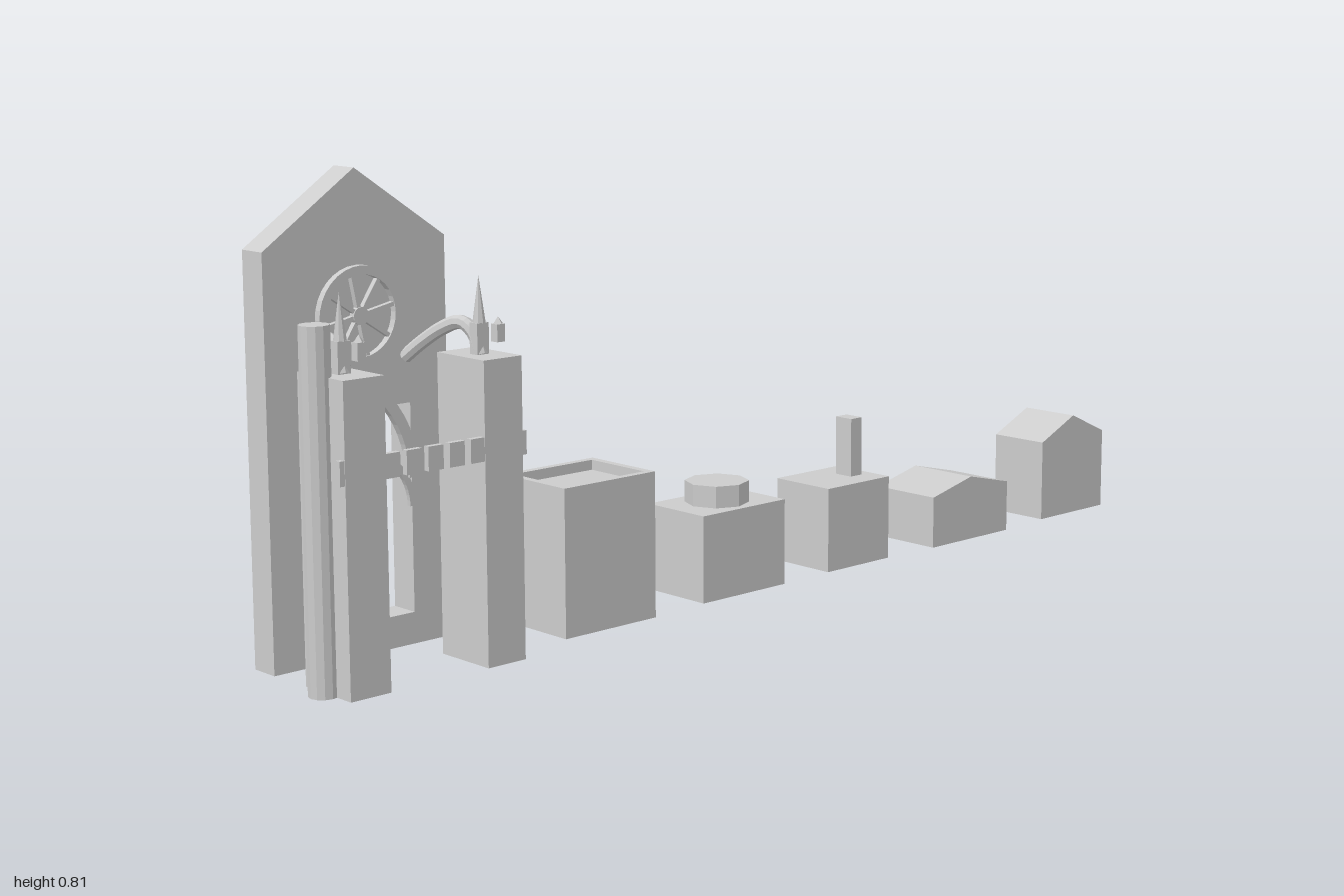
import * as THREE from 'three';

const CX = -0.79; // centre line of the church

export function createModel() {
  const root = new THREE.Group();
  const mat = new THREE.MeshStandardMaterial({ color: 0xcccccc, flatShading: true });

  const add = (name, geo, x = 0, y = 0, z = 0, parent = root) => {
    const m = new THREE.Mesh(geo, mat);
    m.name = name;
    m.position.set(x, y, z);
    parent.add(m);
    return m;
  };
  // Box given by its limits on each axis
  const block = (name, x0, x1, y0, y1, z0, z1, parent = root) =>
    add(name, new THREE.BoxGeometry(x1 - x0, y1 - y0, z1 - z0),
      (x0 + x1) / 2, (y0 + y1) / 2, (z0 + z1) / 2, parent);
  const poly = (pts) => new THREE.Shape(pts.map(([x, y]) => new THREE.Vector2(x, y)));
  const extrude = (shape, depth) =>
    new THREE.ExtrudeGeometry(shape, { depth, bevelEnabled: false, curveSegments: 16 });

  const church = new THREE.Group();
  church.name = 'church';
  root.add(church);

  // Gabled wall with a rectangular opening
  const wall = poly([[-0.18, 0], [0.18, 0], [0.18, 0.69], [0, 0.813], [-0.18, 0.69]]);
  wall.holes.push(poly([[-0.103, 0.055], [-0.103, 0.415], [0.103, 0.415], [0.103, 0.055]]));
  add('gableWall', extrude(wall, 0.055), CX, 0, -0.13, church);

  // Pointed arch band: two arcs, each centred on the opposite springing point
  const archPoints = (half, span, spring) => {
    const pts = [], r = half + span;
    const end = Math.acos(span / r);
    for (let i = 0; i <= 10; i++) {
      const a = end * i / 10;
      pts.push([-span + r * Math.cos(a), spring + r * Math.sin(a)]);
    }
    for (let i = 9; i >= 0; i--) pts.push([-pts[i][0], pts[i][1]]);
    return pts;
  };
  const archBand = (span, width, spring, depth) =>
    extrude(poly([
      ...archPoints(span + width / 2, span, spring),
      ...archPoints(span - width / 2, span, spring).reverse(),
    ]), depth);

  // Window tracery
  add('greatArch', archBand(0.1, 0.02, 0.29, 0.013), CX, 0, -0.075, church);
  for (const s of [-1, 1])
    add('lancetArch', archBand(0.05, 0.012, 0.24, 0.008), CX + s * 0.05, 0, -0.076, church);
  block('mullion', CX - 0.006, CX + 0.006, 0.055, 0.25, -0.076, -0.067, church);
  add('oculus', new THREE.TorusGeometry(0.032, 0.006, 6, 20), CX, 0.385, -0.07, church);

  // Rose window
  const rose = new THREE.Group();
  rose.name = 'roseWindow';
  rose.position.set(CX, 0.572, -0.075);
  church.add(rose);
  const ring = new THREE.Shape().absarc(0, 0, 0.083, 0, Math.PI * 2);
  ring.holes.push(new THREE.Path().absarc(0, 0, 0.068, 0, Math.PI * 2));
  add('roseRim', extrude(ring, 0.013), 0, 0, 0, rose);
  add('roseHub', new THREE.CylinderGeometry(0.015, 0.015, 0.012, 16).rotateX(Math.PI / 2), 0, 0, 0.006, rose);
  for (let i = 0; i < 8; i++) {
    const spoke = new THREE.BoxGeometry(0.058, 0.007, 0.01).translate(0.043, 0, 0.005);
    add('roseSpoke', spoke.rotateZ(i * Math.PI / 4 + 0.2), 0, 0, 0, rose);
  }

  // Towers, pinnacles and flying buttresses, mirrored
  for (const s of [-1, 1]) {
    const tx = CX + s * 0.137;
    block('tower', tx - 0.039, tx + 0.039, 0, 0.51, 0.008, 0.13, church);
    block('pinnacleBase', tx - 0.012, tx + 0.012, 0.51, 0.562, 0.06, 0.08, church);
    add('pinnacleSpire', new THREE.ConeGeometry(0.011, 0.078, 8), tx, 0.6, 0.07, church);
    block('cornerFinial', tx - 0.008, tx + 0.008, 0.536, 0.565, 0.111, 0.127, church);
    add('finialCap', new THREE.ConeGeometry(0.01, 0.012, 4), tx, 0.571, 0.119, church);
    const path = new THREE.CatmullRomCurve3([
      [0.137, 0.508, 0.073], [0.136, 0.542, 0.058], [0.131, 0.559, 0.032],
      [0.122, 0.547, -0.005], [0.108, 0.52, -0.045], [0.095, 0.493, -0.076],
    ].map(([x, y, z]) => new THREE.Vector3(CX + s * x, y, z)));
    add('flyingButtress', new THREE.TubeGeometry(path, 20, 0.012, 8), 0, 0, 0, church);
  }

  // Stair turret
  add('stairTurret', new THREE.CylinderGeometry(0.025, 0.025, 0.592, 12), -0.975, 0.296, 0.07, church);

  // Gallery of small blocks across the front
  for (let k = -4; k <= 4; k++) {
    const x = CX + k * 0.0425;
    block('galleryBlock', x - 0.015, x + 0.015, 0.345, 0.385, 0.118, 0.129, church);
  }

  // House with a parapet round its flat roof
  block('parapetHouse', -0.487, -0.281, 0, 0.244, -0.083, 0.083);
  const rim = poly([[-0.103, -0.083], [0.103, -0.083], [0.103, 0.083], [-0.103, 0.083]]);
  rim.holes.push(poly([[-0.089, -0.069], [-0.089, 0.069], [0.089, 0.069], [0.089, -0.069]]));
  add('parapet', extrude(rim, 0.018).rotateX(-Math.PI / 2), -0.384, 0.244, 0);

  // House with an eight-sided lantern
  block('lanternHouse', -0.156, 0.049, 0, 0.16, -0.073, 0.073);
  add('lantern', new THREE.CylinderGeometry(0.059, 0.059, 0.04, 8), -0.054, 0.18, 0);

  // House with a chimney
  block('chimneyHouse', 0.17, 0.336, 0, 0.16, -0.068, 0.068);
  block('chimney', 0.281, 0.31, 0.16, 0.272, -0.02, 0.02);

  // Two gabled houses
  const gabled = (name, x0, x1, eave, peak, z) =>
    add(name, extrude(poly([[x0, 0], [x1, 0], [x1, eave], [(x0 + x1) / 2, peak], [x0, eave]]), 2 * z), 0, 0, -z);
  gabled('lowGabledHouse', 0.459, 0.68, 0.1, 0.126, 0.074);
  gabled('tallGabledHouse', 0.805, 1, 0.16, 0.204, 0.062);

  return root;
}
